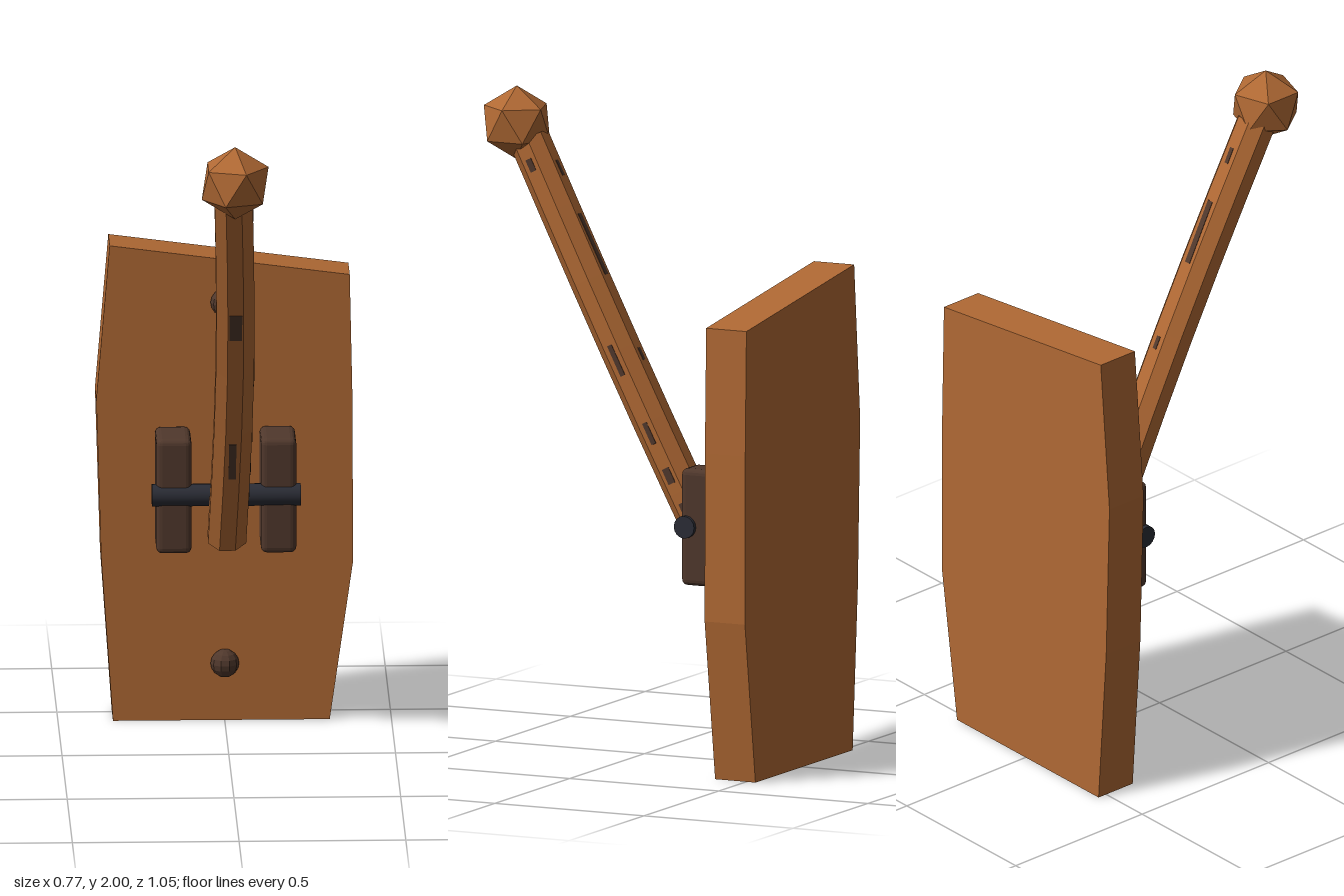
import * as THREE from 'three';
import { RoundedBoxGeometry } from 'three/addons/geometries/RoundedBoxGeometry.js';

export function createModel() {
  const model = new THREE.Group();
  model.name = 'wallLever';

  const material = (name, color, flatShading = true) => {
    const m = new THREE.MeshStandardMaterial({ color, flatShading });
    m.name = name;
    return m;
  };
  const wood = material('wood', 0xb06934);
  const darkBrown = material('darkBrown', 0x50382c);
  const iron = material('iron', 0x2b2d36, false);

  const add = (name, geometry, mat, x = 0, y = 0, z = 0, parent = model) => {
    const mesh = new THREE.Mesh(geometry, mat);
    mesh.name = name;
    mesh.position.set(x, y, z);
    parent.add(mesh);
    return mesh;
  };

  // Rough-cut backing board
  const outline = [
    [-0.335, 0], [0.315, 0], [0.385, 0.49], [0.383, 1.0],
    [0.375, 1.38], [-0.345, 1.475], [-0.385, 1.0], [-0.37, 0.5],
  ].map(([x, y]) => new THREE.Vector2(x, y));
  add('board', new THREE.ExtrudeGeometry(new THREE.Shape(outline), { depth: 0.135, bevelEnabled: false }),
    wood, 0, 0, -0.53);

  // Rivets above and below the bracket
  for (const y of [0.18, 1.3]) {
    add('rivet', new THREE.SphereGeometry(0.043, 10, 8), darkBrown, 0, y, -0.382);
  }

  // Bracket blocks
  for (const side of [-1, 1]) {
    add('bracketBlock', new RoundedBoxGeometry(0.106, 0.355, 0.172, 2, 0.018), darkBrown,
      side * 0.157, 0.738, -0.311);
  }

  // Axle through the brackets
  const axle = new THREE.CylinderGeometry(0.034, 0.034, 0.446, 16);
  axle.rotateZ(Math.PI / 2);
  add('axle', axle, iron, 0, 0.74, -0.244);

  // Leaning eight-sided handle with a slight sideways bow
  const length = 1.39, radius = 0.062;
  const bow = (y) => 0.014 * Math.sin(Math.PI * THREE.MathUtils.clamp(y / length, 0, 1));
  const lever = new THREE.Group();
  lever.name = 'lever';
  lever.position.set(0.002, 0.605, -0.247);
  lever.rotation.x = 0.473;
  model.add(lever);

  const shaft = new THREE.CylinderGeometry(radius, radius, length, 8, 6);
  shaft.rotateY(Math.PI / 8);
  shaft.translate(0, length / 2, 0);
  const p = shaft.attributes.position;
  for (let i = 0; i < p.count; i++) p.setX(i, p.getX(i) + bow(p.getY(i)));
  add('handle', shaft, wood, 0, 0, 0, lever);

  // Dark worn streaks: [quarter turn around the handle, height, length, width]
  const apothem = radius * Math.cos(Math.PI / 8);
  const streaks = [
    [0, 0.9, 0.1, 0.038], [0, 0.36, 0.14, 0.022],
    [1, 0.67, 0.1, 0.016], [1, 0.43, 0.07, 0.016], [1, 0.29, 0.05, 0.024], [1, 0.18, 0.04, 0.02],
    [1, 1.31, 0.04, 0.02],
    [2, 1.02, 0.2, 0.02], [2, 0.66, 0.04, 0.014], [2, 1.27, 0.05, 0.014],
  ];
  for (const [turn, y, len, width] of streaks) {
    const a = turn * Math.PI / 2;
    const streak = add('wornStreak', new THREE.BoxGeometry(width, len, 0.003), darkBrown,
      bow(y) + Math.sin(a) * apothem, y, Math.cos(a) * apothem, lever);
    streak.rotation.y = a;
  }

  // Faceted knob with one corner pointing straight up
  const knob = new THREE.IcosahedronGeometry(0.112, 0);
  knob.rotateZ(-Math.atan(2 / (1 + Math.sqrt(5))));
  add('knob', knob, wood, 0.006, 1.888, 0.425);

  return model;
}
